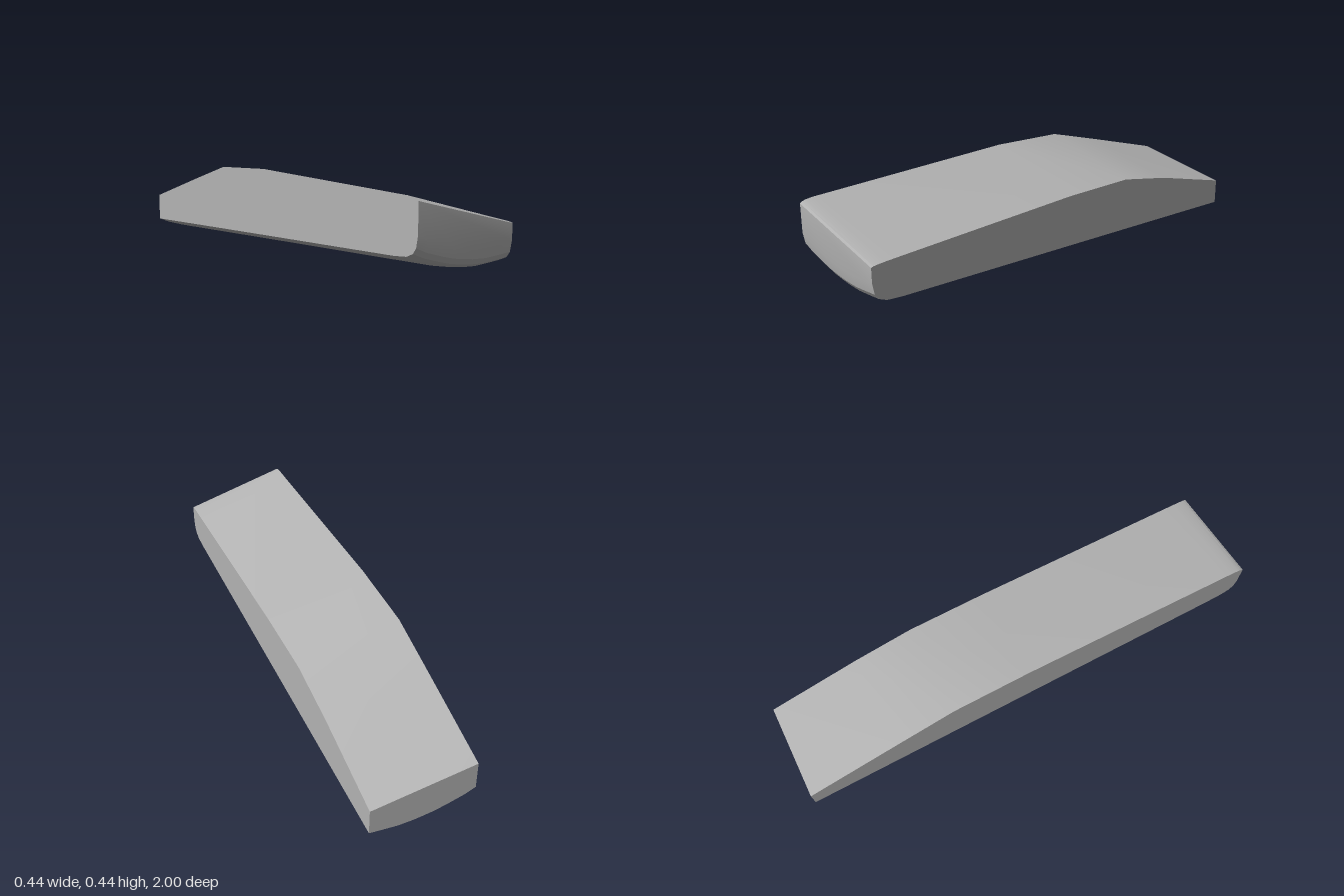
import * as THREE from 'three';
import { toCreasedNormals } from 'three/addons/utils/BufferGeometryUtils.js';

// curved underside: [x, y]
const KEEL = [
  [-0.218, 0.072], [-0.17, 0.051], [-0.1, 0.03], [-0.05, 0.017], [0, 0.009],
  [0.04, 0.004], [0.1, 0.001], [0.16, 0.005], [0.218, 0.01],
];

// stations from back to front: [z, underside lift, top y at right, top y at left]
const STATIONS = [
  [-1, 0, 0.19, 0.12],
  [-0.6, 0.031, 0.318, 0.235],
  [-0.34, 0.051, 0.399, 0.293],
  [0, 0.077, 0.426, 0.308],
  [0.87, 0.143, 0.436, 0.312],
  [0.94, 0.152, 0.437, 0.312],
  [0.975, 0.168, 0.435, 0.311],
  [0.991, 0.19, 0.431, 0.31],
  [1, 0.235, 0.425, 0.307],
];

// closed loft through cross-section rings, with a fan cap at each end
function loft(rings) {
  const n = rings[0].length;
  const index = [];
  for (let s = 0; s < rings.length - 1; s++) {
    for (let i = 0; i < n; i++) {
      const a = s * n + i, b = s * n + (i + 1) % n;
      index.push(a, b, b + n, a, b + n, a + n);
    }
  }
  const last = (rings.length - 1) * n;
  for (let i = 0; i < n - 2; i++) {
    index.push(n - 1, i + 1, i);
    index.push(last + n - 1, last + i, last + i + 1);
  }
  const geometry = new THREE.BufferGeometry();
  geometry.setAttribute('position', new THREE.Float32BufferAttribute(rings.flat(2), 3));
  geometry.setIndex(index);
  return toCreasedNormals(geometry, 0.4);
}

export function createModel() {
  const group = new THREE.Group();
  group.name = 'taperedBlock';
  const grey = new THREE.MeshStandardMaterial({ color: 0xb4b4b4 });
  grey.name = 'grey';

  const rings = STATIONS.map(([z, lift, topRight, topLeft]) => [
    ...KEEL.map(([x, y]) => [x, y + lift, z]),
    [0.218, topLeft, z],
    [-0.218, topRight, z],
  ]);
  const body = new THREE.Mesh(loft(rings), grey);
  body.name = 'body';
  group.add(body);
  return group;
}
